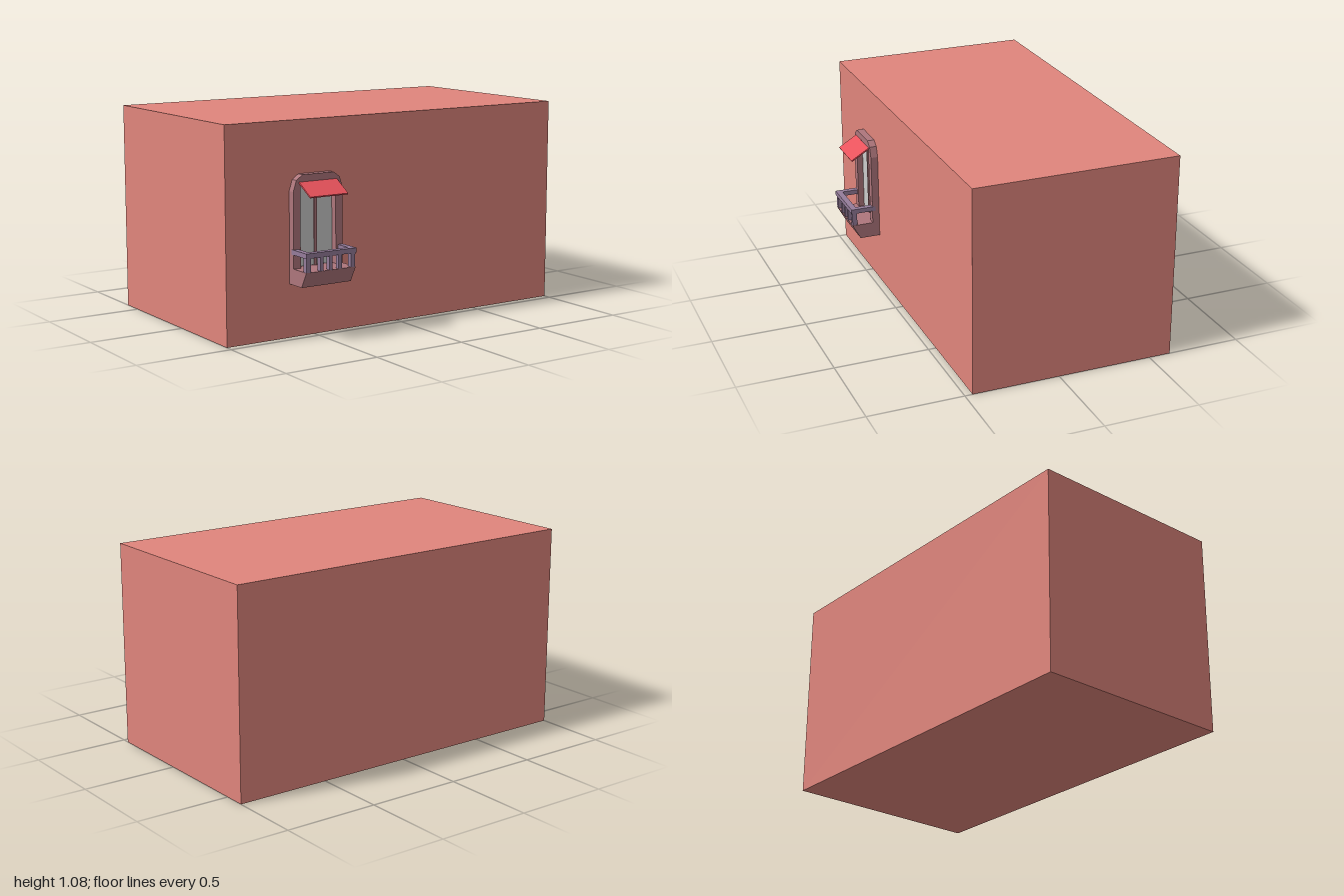
import * as THREE from 'three';

const material = (color) => new THREE.MeshStandardMaterial({ color, flatShading: true });

export function createModel() {
  const model = new THREE.Group();
  const wall = material(0xe0857c);
  const surround = material(0xae767c);
  const railing = material(0x957c9a);
  const red = material(0xe8525c);
  const glass = material(0xcccccc);

  const add = (parent, name, geometry, mat) => {
    const mesh = new THREE.Mesh(geometry, mat);
    mesh.name = name;
    parent.add(mesh);
    return mesh;
  };
  // Box given by its lower and upper limits
  const box = (parent, name, mat, x0, x1, y0, y1, z0, z1) =>
    add(parent, name, new THREE.BoxGeometry(x1 - x0, y1 - y0, z1 - z0), mat)
      .position.set((x0 + x1) / 2, (y0 + y1) / 2, (z0 + z1) / 2);

  box(model, 'building', wall, -1, 1, 0, 1.075, -0.615, 0.46);

  // Window assembly, built around its own centre line
  const windowGroup = new THREE.Group();
  windowGroup.name = 'balconyWindow';
  windowGroup.position.x = -0.502;
  model.add(windowGroup);

  // Surround with chamfered top and a rectangular opening
  const half = 0.143;
  const outline = new THREE.Shape([
    [-half, 0.27], [half, 0.27], [half, 0.73], [0.125, 0.785], [0.09, 0.81],
    [-0.09, 0.81], [-0.125, 0.785], [-half, 0.73],
  ].map(([x, y]) => new THREE.Vector2(x, y)));
  outline.holes.push(new THREE.Path([
    [-0.102, 0.35], [-0.102, 0.775], [0.102, 0.775], [0.102, 0.35],
  ].map(([x, y]) => new THREE.Vector2(x, y))));
  const frame = new THREE.ExtrudeGeometry(outline, { depth: 0.04, bevelEnabled: false });
  add(windowGroup, 'windowSurround', frame.translate(0, 0, 0.458), surround);

  // Glass panes and the bars between them
  for (const s of [-1, 1]) {
    const x = s * 0.053;
    box(windowGroup, 'windowPane', glass, x - 0.046, x + 0.046, 0.352, 0.77, 0.455, 0.467);
  }
  box(windowGroup, 'mullion', surround, -0.007, 0.007, 0.35, 0.775, 0.455, 0.474);

  // Balcony base with sloping front
  const profile = new THREE.Shape([
    [0.455, 0.27], [0.57, 0.27], [0.613, 0.35], [0.455, 0.35],
  ].map(([z, y]) => new THREE.Vector2(-z, y)));
  const base = new THREE.ExtrudeGeometry(profile, { depth: 2 * half, bevelEnabled: false });
  base.translate(0, 0, -half).rotateY(Math.PI / 2);
  add(windowGroup, 'balconyBase', base, surround);

  // Handrail on three sides
  box(windowGroup, 'frontRail', railing, -0.145, 0.145, 0.42, 0.445, 0.585, 0.617);
  for (const s of [-1, 1]) {
    const x = s * 0.13;
    box(windowGroup, 'sideRail', railing, x - 0.015, x + 0.015, 0.42, 0.445, 0.48, 0.59);
  }

  // Balusters along the front
  for (const x of [-0.129, -0.053, 0, 0.053, 0.129]) {
    const w = Math.abs(x) > 0.1 ? 0.012 : 0.009;
    box(windowGroup, 'baluster', railing, x - w, x + w, 0.348, 0.422, 0.586, 0.612);
  }

  // Thin awning sloping away from the wall
  const awning = add(windowGroup, 'awning', new THREE.BoxGeometry(0.218, 0.008, 0.116), red);
  awning.position.set(0, 0.742, 0.546);
  awning.rotation.x = Math.atan2(0.06, 0.1);

  return model;
}
